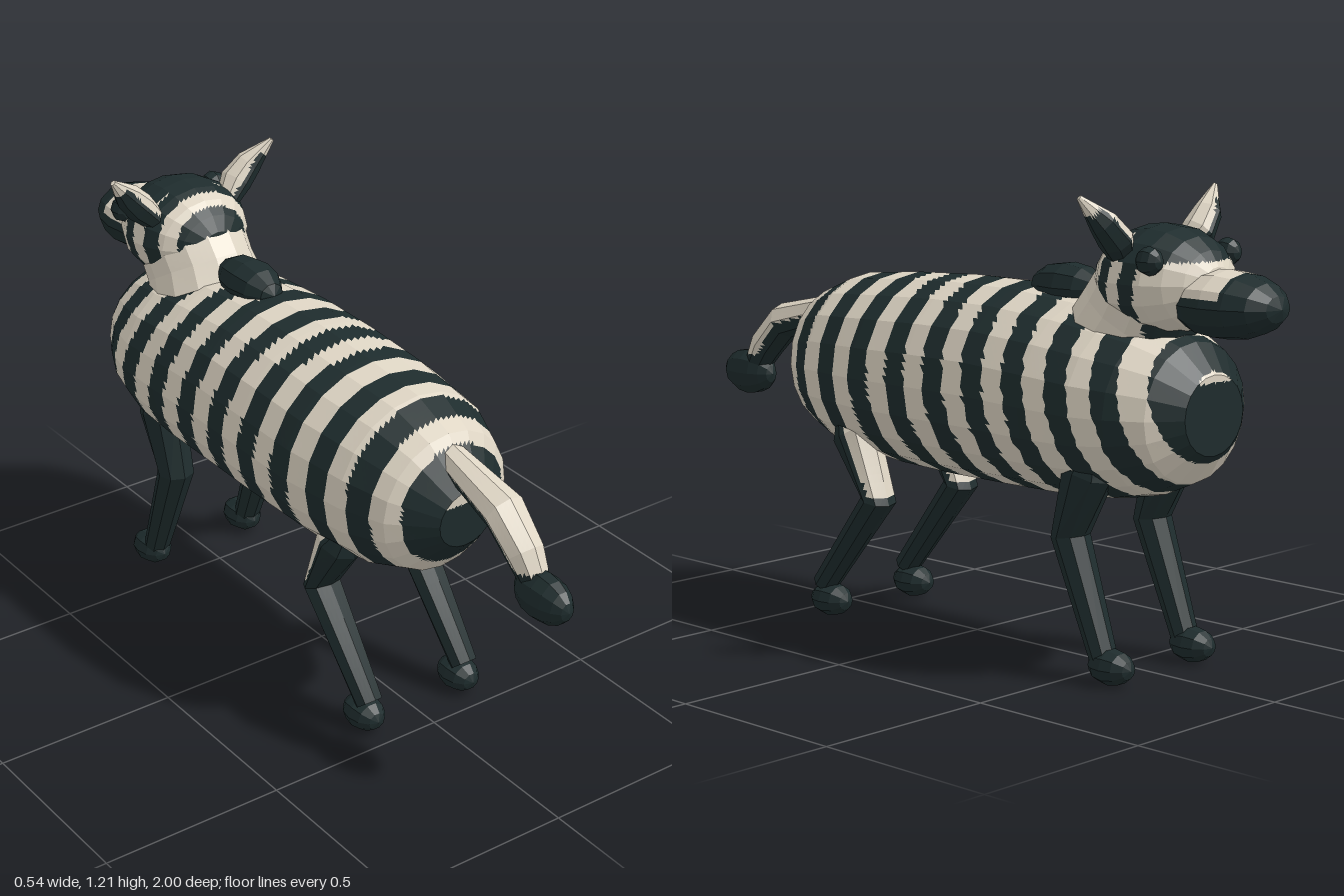
import * as THREE from 'three';

const light = new THREE.MeshStandardMaterial({ color: 0xded5c4 });
light.name = 'cream coat';
const dark = new THREE.MeshStandardMaterial({ color: 0x1e2c2d });
dark.name = 'dark stripe';

const allDark = () => true;

// Faceted tube through stations [x, y, z, half width, half height], closed at both ends.
// Facets are split finely (su around, sv along) so isDark(point) can paint stripes on them.
function tube(name, stations, sides, su, sv, isDark) {
  const st = [...stations];
  const cap = (s) => [s[0], s[1], s[2], 0, 0];
  st.unshift(cap(st[0]));
  st.push(cap(st[st.length - 1]));
  const centre = (i) => new THREE.Vector3(...st[Math.min(Math.max(i, 0), st.length - 1)]);
  const rings = st.map((s, i) => {
    const along = centre(i + 1).sub(centre(i - 1)).normalize();
    const side = new THREE.Vector3(1, 0, 0);
    const up = along.clone().cross(side).normalize();
    return Array.from({ length: sides }, (_, k) => {
      const a = (k / sides) * Math.PI * 2;
      return centre(i).addScaledVector(side, Math.cos(a) * s[3]).addScaledVector(up, Math.sin(a) * s[4]);
    });
  });
  const lists = [[], []];
  const tri = (a, b, c) => {
    const area = b.clone().sub(a).cross(c.clone().sub(a)).length();
    if (area < 1e-9) return;
    const mid = a.clone().add(b).add(c).divideScalar(3);
    const list = lists[isDark(mid) ? 1 : 0];
    for (const p of [a, b, c]) list.push(p.x, p.y, p.z);
  };
  for (let i = 0; i < rings.length - 1; i++) {
    for (let k = 0; k < sides; k++) {
      const n = (k + 1) % sides;
      const at = (u, v) => rings[i][k].clone().lerp(rings[i][n], u)
        .lerp(rings[i + 1][k].clone().lerp(rings[i + 1][n], u), v);
      for (let p = 0; p < su; p++) {
        for (let q = 0; q < sv; q++) {
          const u0 = p / su, u1 = (p + 1) / su, v0 = q / sv, v1 = (q + 1) / sv;
          const a = at(u0, v0), b = at(u1, v0), c = at(u1, v1), d = at(u0, v1);
          tri(a, b, c);
          tri(a, c, d);
        }
      }
    }
  }
  const geo = new THREE.BufferGeometry();
  geo.setAttribute('position', new THREE.Float32BufferAttribute(lists[0].concat(lists[1]), 3));
  geo.computeVertexNormals();
  const nLight = lists[0].length / 3, nDark = lists[1].length / 3;
  if (nLight) geo.addGroup(0, nLight, 0);
  if (nDark) geo.addGroup(nLight, nDark, 1);
  const mesh = new THREE.Mesh(geo, [light, dark]);
  mesh.name = name;
  return mesh;
}

// Faceted ellipsoid lying along z
function ellipsoid(name, [x, y, z], [rx, ry, rz], isDark, sides = 12, rows = 8, su = 1, sv = 1) {
  const st = [];
  for (let i = 0; i <= rows; i++) {
    const a = (i / rows) * Math.PI, s = Math.sin(a);
    st.push([x, y, z + rz * Math.cos(a), rx * s, ry * s]);
  }
  return tube(name, st, sides, su, sv, isDark);
}

export function createModel() {
  const model = new THREE.Group();
  model.name = 'stripedAnimal';

  // Body: barrel with rings that lean more towards the front
  const bodyStripe = (p) => {
    const lean = THREE.MathUtils.clamp((0.35 - p.z) * 0.28, 0, 0.25);
    const s = (p.z + lean * (0.95 - p.y) - 0.58) / 0.13 + 100;
    return Math.abs(s - Math.round(s)) < 0.25;
  };
  const bodyRings = [
    [0.61, 0.68, 0.085, 0.08], [0.52, 0.685, 0.19, 0.195], [0.4, 0.69, 0.24, 0.24],
    [0.2, 0.69, 0.267, 0.257], [0, 0.692, 0.27, 0.265], [-0.2, 0.692, 0.27, 0.265],
    [-0.4, 0.685, 0.27, 0.255], [-0.55, 0.68, 0.265, 0.238], [-0.65, 0.68, 0.24, 0.215],
    [-0.74, 0.68, 0.19, 0.175], [-0.8, 0.68, 0.11, 0.1],
  ];
  model.add(tube('body', bodyRings.map(([z, y, w, h]) => [0, y, z, w, h]), 20, 4, 12, bodyStripe));

  // Neck and mane
  model.add(tube('neck', [
    [0, 0.8, -0.5, 0.17, 0.165], [0, 0.91, -0.565, 0.145, 0.155], [0, 1.0, -0.62, 0.15, 0.14],
  ], 14, 4, 12, (p) => {
    const t = (p.y - 0.8) * 0.87 - (p.z + 0.5) * 0.49;
    return (t > 0.0 && t < 0.05) || (p.z < -0.66 && p.y < 0.9);
  }));
  model.add(ellipsoid('mane', [0, 0.955, -0.325], [0.07, 0.062, 0.115], allDark, 10, 6));

  // Head with bands, dark crown and muzzle
  model.add(ellipsoid('head', [0, 1.0, -0.64], [0.17, 0.137, 0.175], (p) => {
    const s = p.z + 0.15 * (p.y - 1.1);
    return (p.z < -0.61 && p.y > 1.055) || [-0.5, -0.585, -0.67].some((c) => Math.abs(s - c) < 0.022);
  }, 16, 10, 4, 6));
  model.add(ellipsoid('muzzle', [0, 0.955, -0.84], [0.12, 0.085, 0.16],
    (p) => p.z < -0.885 || p.y < 0.975, 12, 8, 4, 5));

  // Tail, light above and dark beneath, with a tuft
  model.add(tube('tail', [
    [0, 0.835, 0.48, 0.033, 0.035], [0, 0.765, 0.75, 0.058, 0.05],
    [0, 0.69, 0.83, 0.05, 0.048], [0, 0.62, 0.88, 0.036, 0.036],
  ], 8, 3, 8, (p) => {
    const line = Math.min(0.835 - 0.27 * (p.z - 0.5), 0.76 - 1.08 * (p.z - 0.75));
    return p.y < line - 0.008 || p.y < 0.66;
  }));
  model.add(ellipsoid('tailTuft', [0, 0.605, 0.905], [0.052, 0.065, 0.095], allDark, 10, 8));

  for (const s of [1, -1]) {
    const side = s > 0 ? 'left' : 'right';
    const x = 0.155 * s;

    // Ear: leaf shape leaning outwards
    const ear = tube(side + 'Ear', [
      [0, 0, 0.015, 0.026, 0.03], [0, 0.08, -0.005, 0.042, 0.046],
      [0, 0.14, 0, 0.037, 0.036], [0, 0.225, 0.025, 0.008, 0.006],
    ], 8, 3, 6, (p) => p.x * s > -0.012 && p.y < 0.18);
    ear.position.set(0.1 * s, 1.045, -0.61);
    ear.rotation.z = -0.75 * s;
    model.add(ear);

    // Eye
    model.add(ellipsoid(side + 'Eye', [0.147 * s, 1.06, -0.715], [0.033, 0.036, 0.036], allDark, 8, 6));

    // Front leg and hoof
    model.add(tube(side + 'FrontLeg', [
      [x, 0.575, -0.55, 0.045, 0.045], [x, 0.53, -0.535, 0.063, 0.07],
      [x, 0.36, -0.475, 0.054, 0.046], [x, 0.06, -0.59, 0.038, 0.033],
    ], 8, 1, 1, allDark));
    model.add(ellipsoid(side + 'FrontHoof', [x, 0.05, -0.613], [0.05, 0.046, 0.065], allDark, 10, 6));

    // Back leg, with a light front to the thigh, and hoof
    model.add(tube(side + 'BackLeg', [
      [x, 0.56, 0.325, 0.04, 0.04], [x, 0.52, 0.3, 0.063, 0.065],
      [x, 0.35, 0.215, 0.054, 0.042], [x, 0.09, 0.425, 0.038, 0.034],
    ], 8, 3, 10, (p) => p.y < 0.36 || p.z > 0.215 + (p.y - 0.35) * 0.5 - 0.015));
    model.add(ellipsoid(side + 'BackHoof', [x, 0.05, 0.402], [0.05, 0.046, 0.065], allDark, 10, 6));
  }
  return model;
}
